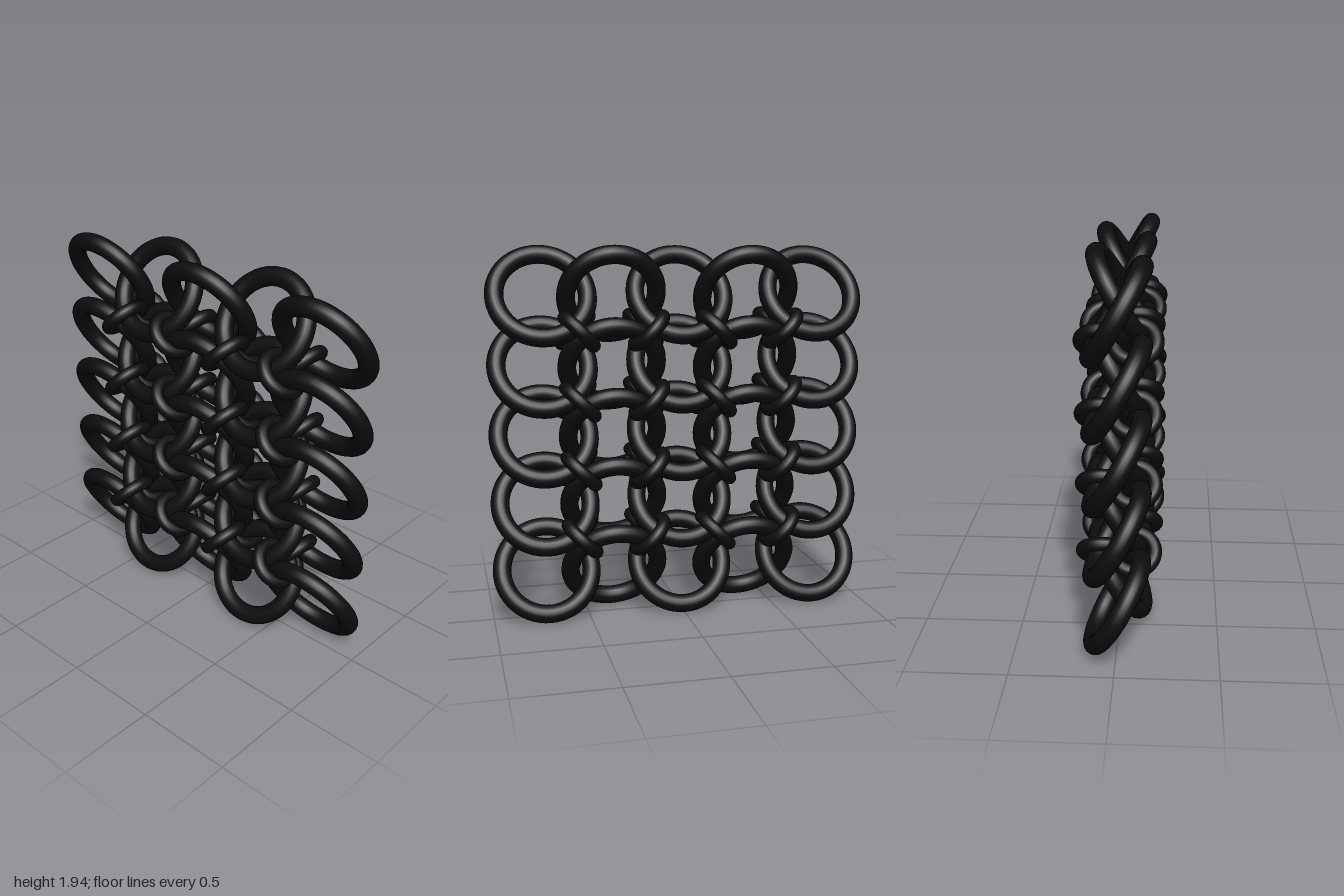
import * as THREE from 'three';

const N = 5;              // large rings per side
const PITCH = 0.3585;     // spacing between ring centres
const TILT = Math.PI / 6;
const R = 0.235, TUBE = 0.048;
const BASE = R * Math.cos(TILT) + TUBE;

export function createModel() {
  const group = new THREE.Group();
  group.name = 'chainMailPatch';
  const material = new THREE.MeshStandardMaterial({ color: 0x0d0d0d });

  const largeGeo = new THREE.TorusGeometry(R, TUBE, 18, 56);
  // Small ring stands edge-on to the front
  const smallGeo = new THREE.TorusGeometry(0.102, 0.035, 14, 36).rotateY(Math.PI / 2);

  const add = (geo, name, x, y, z) => {
    const mesh = new THREE.Mesh(geo, material);
    mesh.name = name;
    mesh.position.set(x, y, z);
    group.add(mesh);
    return mesh;
  };
  const colX = (i) => (i - (N - 1) / 2) * PITCH;
  const rowY = (j) => BASE + j * PITCH;

  // Large rings: columns lean alternately forward and back
  for (let i = 0; i < N; i++) {
    for (let j = 0; j < N; j++) {
      const ring = add(largeGeo, 'largeRing', colX(i), rowY(j), 0);
      ring.rotation.x = i % 2 ? -TILT : TILT;
    }
  }

  // Small connector rings: a crossed pair, front and back, between every four large rings
  for (let i = 0; i < N - 1; i++) {
    for (let j = 0; j < N - 1; j++) {
      for (const side of [1, -1]) {
        const ring = add(smallGeo, side > 0 ? 'frontConnector' : 'backConnector',
          colX(i + 0.5), rowY(j + 0.5), side * 0.078);
        ring.rotation.z = (i % 2 ? 1 : -1) * side * Math.PI / 4;
      }
    }
  }
  return group;
}
